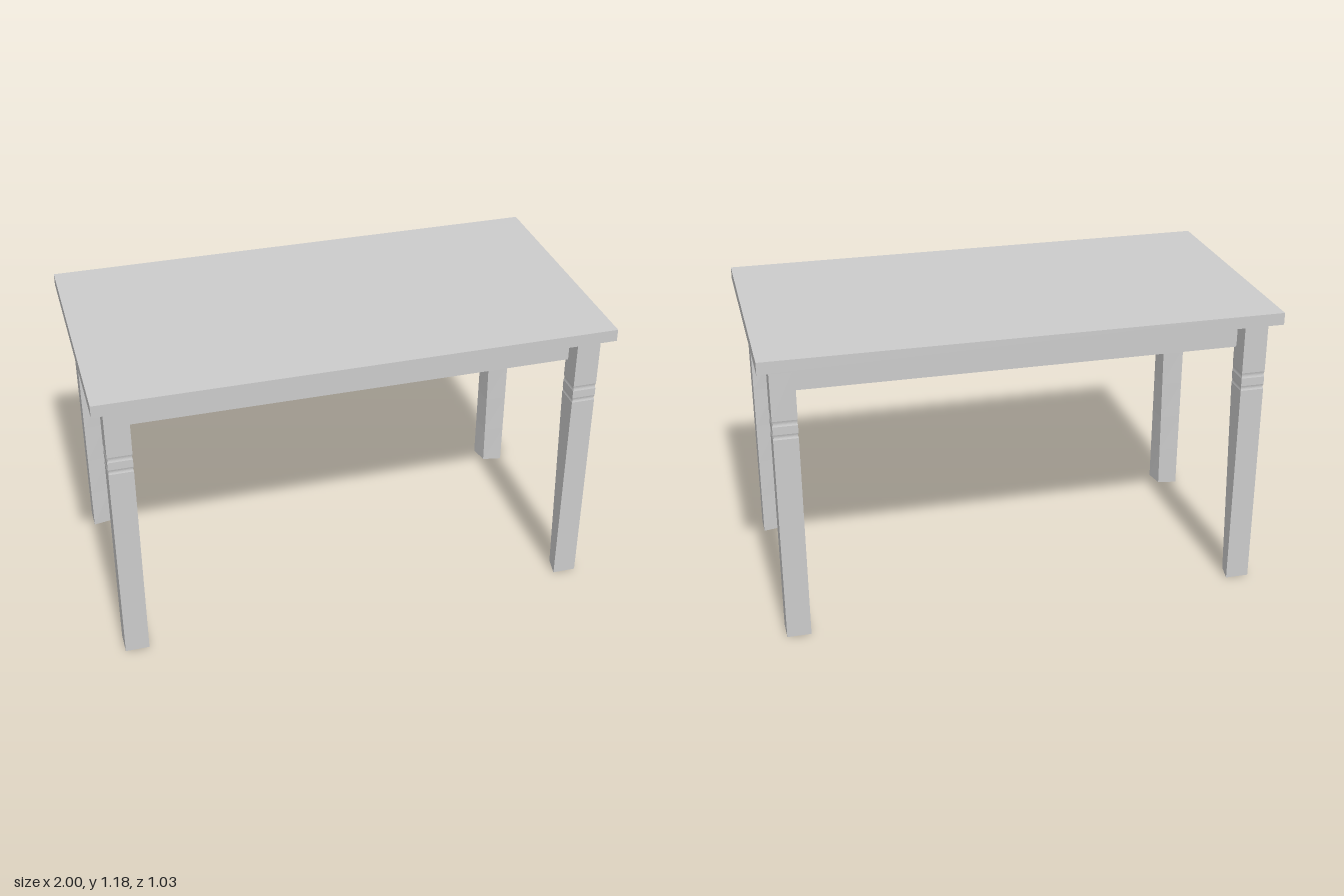
import * as THREE from 'three';

const material = new THREE.MeshStandardMaterial({ color: 0xcccccc, flatShading: true });

function addBox(parent, name, w, h, d, x, y, z) {
  const mesh = new THREE.Mesh(new THREE.BoxGeometry(w, h, d), material);
  mesh.name = name;
  mesh.position.set(x, y, z);
  parent.add(mesh);
}

// Square leg lofted from rings [height, inset, shift of the corner facing the table centre]
function legGeometry(sx, sz) {
  const half = 0.047;
  const rings = [];
  // lower shaft, inner corner tapering towards the foot
  for (let i = 0; i <= 5; i++) rings.push([0.845 * i / 5, 0, 0.015 * (1 - i / 5)]);
  // two shallow rounded grooves
  for (const [y0, y1] of [[0.848, 0.868], [0.9, 0.922]]) {
    for (let i = 0; i <= 6; i++) {
      const t = i / 6;
      rings.push([y0 + (y1 - y0) * t, 0.002 * Math.sin(Math.PI * t), 0]);
    }
  }
  rings.push([1.13, 0, 0]);

  const corners = [[-1, 1], [1, 1], [1, -1], [-1, -1]]; // counterclockwise from above
  const positions = [];
  for (const [y, inset, shift] of rings) {
    for (const [cx, cz] of corners) {
      const inner = cx === -sx && cz === -sz;
      const r = half - inset - (inner ? shift : 0);
      positions.push(cx * r, y, cz * r);
    }
  }
  const index = [];
  for (let k = 0; k < rings.length - 1; k++) {
    for (let i = 0; i < 4; i++) {
      const a = k * 4 + i, b = k * 4 + (i + 1) % 4;
      index.push(a, b, b + 4, a, b + 4, a + 4);
    }
  }
  const top = (rings.length - 1) * 4;
  index.push(0, 2, 1, 0, 3, 2, top, top + 1, top + 2, top, top + 2, top + 3);

  const geometry = new THREE.BufferGeometry();
  geometry.setAttribute('position', new THREE.Float32BufferAttribute(positions, 3));
  geometry.setIndex(index);
  const flat = geometry.toNonIndexed();
  flat.computeVertexNormals();
  return flat;
}

export function createModel() {
  const table = new THREE.Group();
  table.name = 'table';

  addBox(table, 'tableTop', 2, 0.048, 1.034, 0, 1.152, 0);

  // Closed frame under the top, with a thin apron board on each side
  addBox(table, 'apronCore', 1.76, 0.119, 0.806, 0, 1.0695, 0);
  for (const s of [-1, 1]) {
    addBox(table, s > 0 ? 'frontApron' : 'backApron', 1.712, 0.115, 0.02, 0, 1.0675, s * 0.402);
    addBox(table, s > 0 ? 'leftApron' : 'rightApron', 0.02, 0.115, 0.752, s * 0.878, 1.0675, 0);
  }

  // Four legs, tapering slightly at their inner corners
  for (const sx of [-1, 1]) {
    for (const sz of [-1, 1]) {
      const leg = new THREE.Mesh(legGeometry(sx, sz), material);
      leg.name = (sz > 0 ? 'front' : 'back') + (sx > 0 ? 'Left' : 'Right') + 'Leg';
      leg.position.set(sx * 0.9085, 0, sz * 0.4285);
      table.add(leg);
    }
  }
  return table;
}
